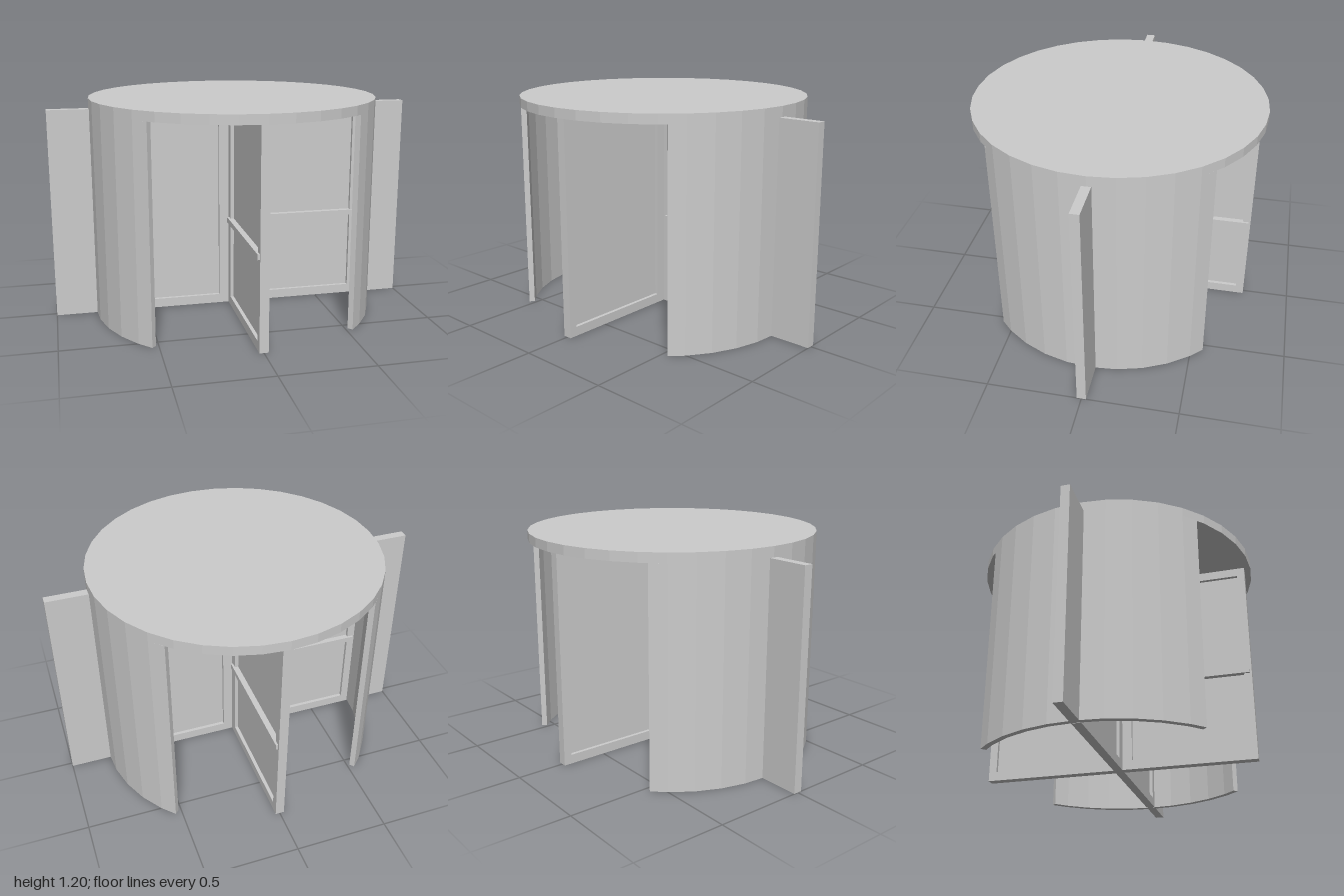
import * as THREE from 'three';

const material = new THREE.MeshStandardMaterial({ color: 0xcccccc, flatShading: true });
const RADIUS = 0.78, INNER = 0.75, WALL_H = 1.15, LEAF_H = 1.145, THICK = 0.048;

function add(parent, name, geometry, x = 0, y = 0, z = 0) {
  const mesh = new THREE.Mesh(geometry, material);
  mesh.name = name;
  mesh.position.set(x, y, z);
  parent.add(mesh);
  return mesh;
}

function rectangle(Type, x0, y0, x1, y1) {
  return new Type().moveTo(x0, y0).lineTo(x1, y0).lineTo(x1, y1).lineTo(x0, y1).closePath();
}

// Curved wall: a faceted ring sector, 10 degrees per facet, cut part way along the last one
function wallGeometry() {
  const outer = [new THREE.Vector2(0.535, -0.565)];
  for (let deg = -40; deg <= 40; deg += 10) {
    const a = THREE.MathUtils.degToRad(deg);
    outer.push(new THREE.Vector2(Math.cos(a), Math.sin(a)).multiplyScalar(RADIUS));
  }
  outer.push(new THREE.Vector2(0.535, 0.565));
  const inner = outer.map(p => p.clone().multiplyScalar(INNER / RADIUS)).reverse();
  const geometry = new THREE.ExtrudeGeometry(new THREE.Shape([...outer, ...inner]),
    { depth: WALL_H, bevelEnabled: false });
  return geometry.rotateX(-Math.PI / 2);
}

// One door leaf reaching out along +x, with its push bar on the +z face
function makeLeaf() {
  const leaf = new THREE.Group();
  leaf.name = 'doorLeaf';
  const frame = rectangle(THREE.Shape, 0.024, 0, 0.745, LEAF_H);
  frame.holes.push(rectangle(THREE.Path, 0.077, 0.05, 0.702, 1.097));
  add(leaf, 'leafFrame', new THREE.ExtrudeGeometry(frame, { depth: THICK, bevelEnabled: false }),
    0, 0, -THICK / 2);
  add(leaf, 'leafPanel', new THREE.BoxGeometry(0.635, 1.057, 0.01), 0.3895, 0.5735, 0);
  add(leaf, 'pushBar', new THREE.BoxGeometry(0.695, 0.03, 0.032), 0.3875, 0.5, 0.02);
  return leaf;
}

export function createModel() {
  const model = new THREE.Group();
  model.name = 'revolvingDoor';

  add(model, 'roof', new THREE.CylinderGeometry(RADIUS, RADIUS, 0.05, 36), 0, 1.175, 0);
  add(model, 'centrePost', new THREE.BoxGeometry(THICK, WALL_H, THICK), 0, WALL_H / 2, 0);

  // Four leaves in a cross
  for (let i = 0; i < 4; i++) {
    const leaf = makeLeaf();
    leaf.rotation.y = i * Math.PI / 2;
    model.add(leaf);
  }

  // Curved walls and the flat wings outside them, left and right
  for (const side of [1, -1]) {
    const wall = add(model, side > 0 ? 'leftWall' : 'rightWall', wallGeometry());
    wall.rotation.y = side > 0 ? 0 : Math.PI;
    add(model, side > 0 ? 'leftWing' : 'rightWing',
      new THREE.BoxGeometry(0.24, LEAF_H, THICK), side * 0.88, LEAF_H / 2, 0);
  }
  return model;
}
